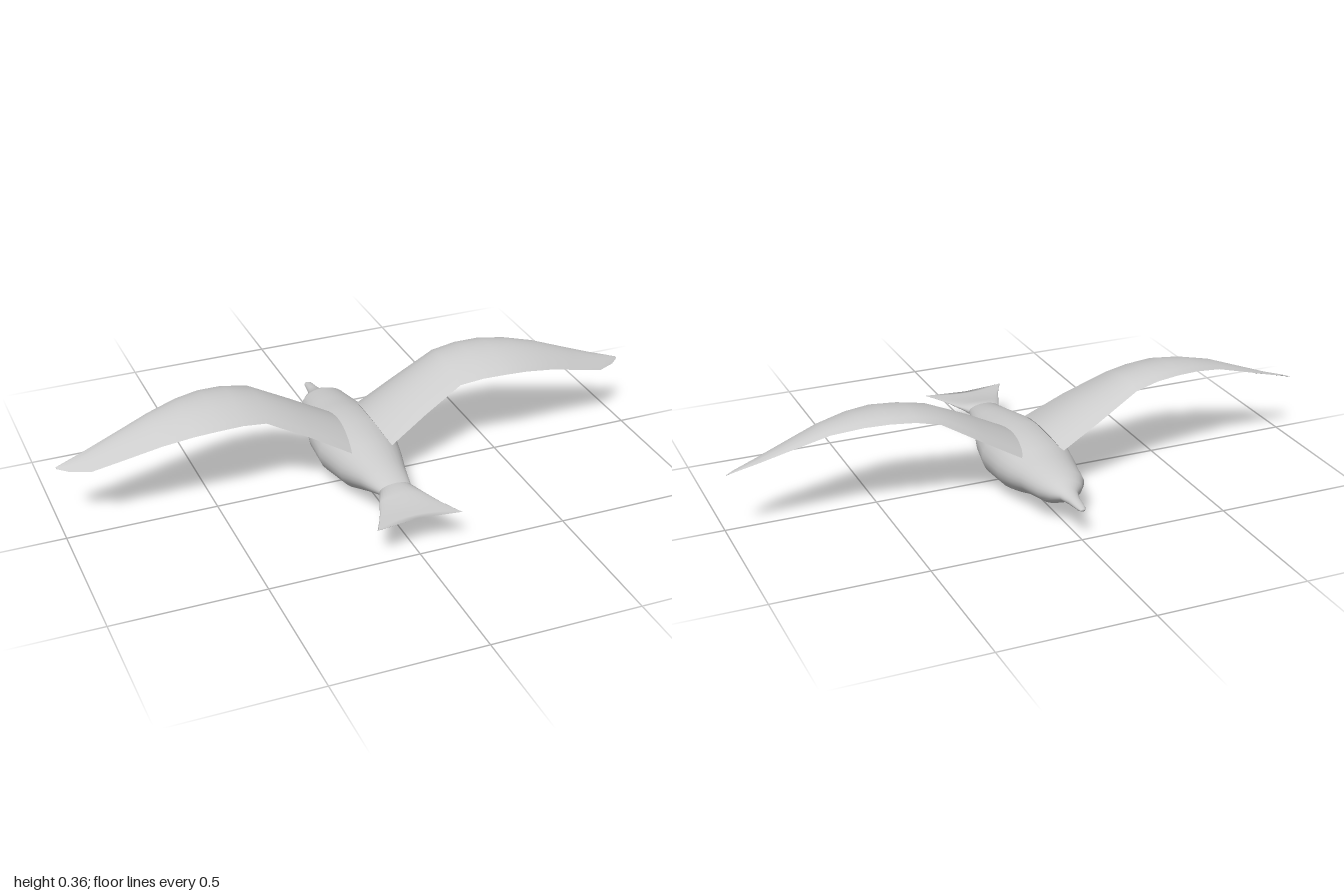
import * as THREE from 'three';
import { toCreasedNormals } from 'three/addons/utils/BufferGeometryUtils.js';

const material = new THREE.MeshStandardMaterial({ color: 0xcccccc, side: THREE.DoubleSide });

// Skins closed rings of points and caps both ends
function loft(rings) {
  const n = rings[0].length, last = rings.length - 1;
  const points = rings.flat(), index = [];
  for (let i = 0; i < last; i++) {
    for (let j = 0; j < n; j++) {
      const k = (j + 1) % n;
      const a = i * n + j, b = i * n + k, c = a + n, d = b + n;
      index.push(a, b, c, b, d, c);
    }
  }
  for (const i of [0, last]) {
    const centre = new THREE.Vector3();
    rings[i].forEach(p => centre.addScaledVector(p, 1 / n));
    points.push(centre);
    for (let j = 0; j < n; j++) {
      const a = i * n + j, b = i * n + (j + 1) % n;
      index.push(points.length - 1, ...(i === 0 ? [b, a] : [a, b]));
    }
  }
  const geometry = new THREE.BufferGeometry().setFromPoints(points);
  geometry.setIndex(index);
  geometry.computeVertexNormals();
  return geometry;
}

function addMesh(group, name, geometry) {
  const mesh = new THREE.Mesh(geometry, material);
  mesh.name = name;
  group.add(mesh);
}

// Elliptical ring; sweep pulls its sides backwards
function bodyRing([z, bottom, top, halfWidth, sweep = 0]) {
  return Array.from({ length: 28 }, (_, j) => {
    const a = j / 28 * Math.PI * 2, c = Math.cos(a);
    return new THREE.Vector3(halfWidth * c,
      (top + bottom) / 2 + (top - bottom) / 2 * Math.sin(a), z + sweep * c * c);
  });
}

// Beak, head and trunk: z, bottom, top, half width
const bodySections = [
  [-0.502, 0.100, 0.108, 0.008],
  [-0.49, 0.097, 0.114, 0.014],
  [-0.44, 0.092, 0.122, 0.02],
  [-0.40, 0.089, 0.129, 0.031],
  [-0.375, 0.074, 0.148, 0.057],
  [-0.34, 0.057, 0.165, 0.081],
  [-0.25, 0.043, 0.175, 0.101],
  [-0.19, 0.023, 0.185, 0.117],
  [-0.13, 0.007, 0.194, 0.130],
  [-0.02, 0.001, 0.199, 0.137],
  [0.10, 0.013, 0.185, 0.110],
  [0.20, 0.057, 0.166, 0.080],
  [0.30, 0.099, 0.146, 0.055]
];

// Forked tail, continuing the trunk: last value is the sweep
const tailSections = [
  [0.30, 0.099, 0.146, 0.055],
  [0.35, 0.109, 0.136, 0.078, 0.005],
  [0.40, 0.117, 0.127, 0.101, 0.014],
  [0.43, 0.119, 0.124, 0.12, 0.024],
  [0.46, 0.119, 0.122, 0.143, 0.037]
];

// Wing: x, y of trailing edge, leading z, trailing z, leading edge lift, camber, thickness
const wingSections = [
  [0.07, 0.163, -0.202, 0.107, 0.000, 0.034, 0.012],
  [0.20, 0.235, -0.197, 0.080, 0.004, 0.030, 0.012],
  [0.34, 0.302, -0.186, 0.048, 0.020, 0.024, 0.012],
  [0.42, 0.314, -0.179, 0.056, 0.026, 0.024, 0.011],
  [0.50, 0.317, -0.170, 0.064, 0.028, 0.024, 0.011],
  [0.58, 0.310, -0.153, 0.058, 0.030, 0.022, 0.010],
  [0.68, 0.290, -0.127, 0.043, 0.032, 0.018, 0.009],
  [0.80, 0.254, -0.105, 0.020, 0.030, 0.012, 0.007],
  [0.90, 0.224, -0.088, 0.000, 0.028, 0.007, 0.005],
  [0.965, 0.219, -0.077, -0.035, 0.014, 0.003, 0.004],
  [0.998, 0.220, -0.072, -0.064, 0.003, 0.000, 0.002]
];

// Cambered thin section, lifted square to the line of the wing
function wingRing(section, i, side) {
  const [x, y, lead, trail, lift, camber, thickness] = section;
  const before = wingSections[Math.max(i - 1, 0)];
  const after = wingSections[Math.min(i + 1, wingSections.length - 1)];
  const slope = Math.atan2(after[1] - before[1], after[0] - before[0]);
  const steps = 10, ring = [];
  for (let j = 0; j < steps * 2; j++) {
    const upper = j <= steps;
    const t = (upper ? j : steps * 2 - j) / steps;
    const bulge = Math.sin(Math.PI * Math.pow(t, 0.85));
    const h = camber * bulge + (upper ? 0.5 : -0.5) * thickness * Math.sqrt(Math.max(bulge, 0));
    ring.push(new THREE.Vector3(side * (x - Math.sin(slope) * h),
      y + lift * (1 - t) + Math.cos(slope) * h,
      THREE.MathUtils.lerp(lead, trail, t)));
  }
  return side > 0 ? ring : ring.reverse();
}

export function createModel() {
  const bird = new THREE.Group();
  bird.name = 'bird';
  addMesh(bird, 'body', loft(bodySections.map(bodyRing)));
  addMesh(bird, 'tail', loft(tailSections.map(bodyRing)));
  for (const [name, side] of [['leftWing', 1], ['rightWing', -1]]) {
    const wing = loft(wingSections.map((s, i) => wingRing(s, i, side)));
    addMesh(bird, name, toCreasedNormals(wing, 0.9));
  }
  return bird;
}
